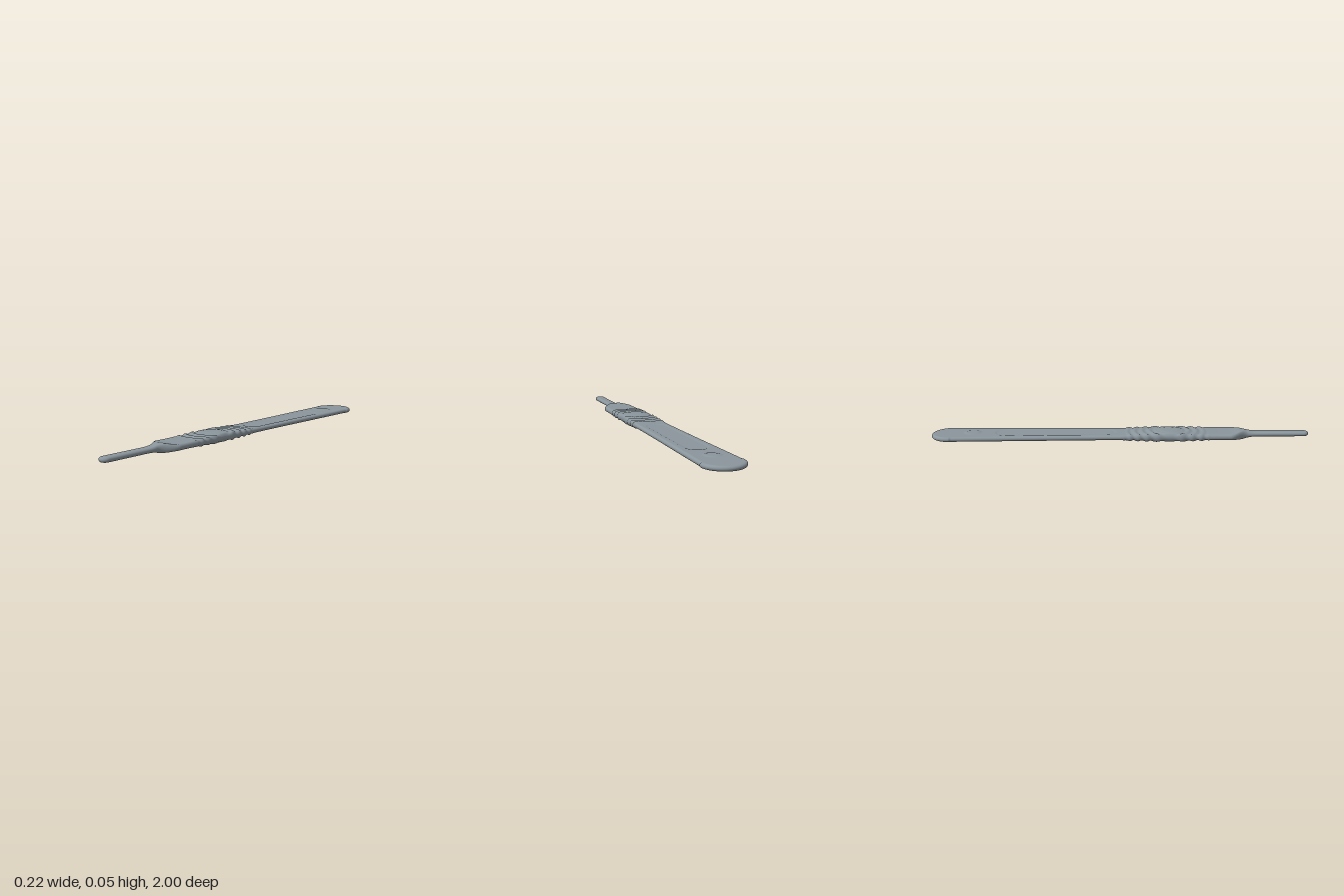
import * as THREE from 'three';

const CENTRE_Y = 0.03, GRIP_Z = 0.255;
const smooth = THREE.MathUtils.smoothstep;
const bump = (v, c, s) => Math.exp(-(((v - c) / s) ** 2));
const END = { z: -0.892, r: 0.108 };   // rounded back end
const TIP = { z: 0.971, r: 0.029 };    // rounded blade mount tip

// Fades the grip pattern in and out along the handle
const gripMask = z => smooth(z, 0.01, 0.05) * (1 - smooth(z, 0.43, 0.47));
const ridge = r => Math.cos((r - 0.105) / 0.04 * Math.PI * 2);

// Half width along the handle
function halfWidth(z) {
  if (z < END.z) return Math.sqrt(Math.max(1e-8, END.r ** 2 - (z - END.z) ** 2));
  if (z > TIP.z) return Math.sqrt(Math.max(1e-8, TIP.r ** 2 - (z - TIP.z) ** 2));
  let w = THREE.MathUtils.lerp(END.r, 0.085, smooth(z, -1.3, 0.15));
  if (z > -0.892) w = Math.min(w, 0.108 - (z + 0.892) * 0.0255);
  w = Math.max(w, 0.086);
  w += 0.0025 * gripMask(z) * ridge(Math.hypot(0.085, z - GRIP_Z));
  // shoulder narrowing to the blade mount
  const s = THREE.MathUtils.clamp((z - 0.575) / 0.1, 0, 1);
  return THREE.MathUtils.lerp(w, TIP.r, s * s * (3 - 2 * s));
}

// Half thickness, with grip rings, shoulder swell and shallow recess
function halfThickness(x, z, top) {
  const r = Math.hypot(x, z - GRIP_Z);
  const crown = 1 - 0.35 * Math.min(1, (x / 0.088) ** 2);
  let t = 0.0125;
  t += 0.0025 * smooth(z, -0.02, 0.06) * (1 - smooth(z, 0.64, 0.72));
  t += 0.0075 * bump(z, 0.64, 0.04) * crown;
  t += 0.0085 * bump(z, GRIP_Z, 0.15) * crown;
  const rings = smooth(r, 0.06, 0.085);
  t += gripMask(z) * (0.0026 * ridge(r) * rings + 0.003 * (1 - smooth(r, 0.045, 0.07)));
  // long recessed panel with round ends
  const pw = 0.058 - 0.008 * (z + 0.62);
  const dz = Math.max(0, -0.605 - z, z + 0.08);
  t -= 0.0022 * (1 - smooth(Math.hypot(x, dz), pw - 0.006, pw + 0.004));
  // small round boss near the back end
  if (top) t += 0.0035 * (1 - smooth(Math.hypot(x, z + 0.785), 0.03, 0.05));
  return t;
}

// Rounds the edge over by distance from the outline
function edgeFactor(x, z, w) {
  let d = w - Math.abs(x);
  for (const c of [END, TIP]) {
    if ((c === END && z < c.z) || (c === TIP && z > c.z)) d = Math.min(d, c.r - Math.hypot(x, z - c.z));
  }
  const k = 1 - THREE.MathUtils.clamp(d / 0.014, 0, 1);
  return Math.sqrt(Math.max(0, 1 - k * k));
}

function handleGeometry() {
  const zs = [];
  for (let i = 0; i < 14; i++) zs.push(-1 + 0.03 * (i / 14) ** 2);
  for (let i = 0; i <= 400; i++) zs.push(-0.97 + 1.94 * i / 400);
  for (let i = 13; i >= 0; i--) zs.push(1 - 0.03 * (i / 14) ** 2);

  const half = 54, n = half * 2, pos = [], index = [];
  zs.forEach((z, i) => {
    const w = halfWidth(z);
    for (let j = 0; j < n; j++) {
      const top = j <= half;
      const x = w * Math.cos(j / half * Math.PI);
      const y = halfThickness(x, z, top) * edgeFactor(x, z, w);
      pos.push(x, CENTRE_Y + (top ? y : -y), z);
      if (i < zs.length - 1) {
        const a = i * n + j, b = i * n + (j + 1) % n;
        index.push(a, b, b + n, a, b + n, a + n);
      }
    }
  });
  const g = new THREE.BufferGeometry();
  g.setAttribute('position', new THREE.Float32BufferAttribute(pos, 3));
  g.setIndex(index);
  g.computeVertexNormals();
  return g;
}

export function createModel() {
  const steel = new THREE.MeshStandardMaterial({ color: 0x8a959c });
  steel.name = 'brushed steel';
  const group = new THREE.Group();
  group.name = 'scalpelHandle';
  // one continuous body: flat handle, ringed grip, shoulder and blade mount
  const body = new THREE.Mesh(handleGeometry(), steel);
  body.name = 'handleBody';
  group.add(body);
  return group;
}
